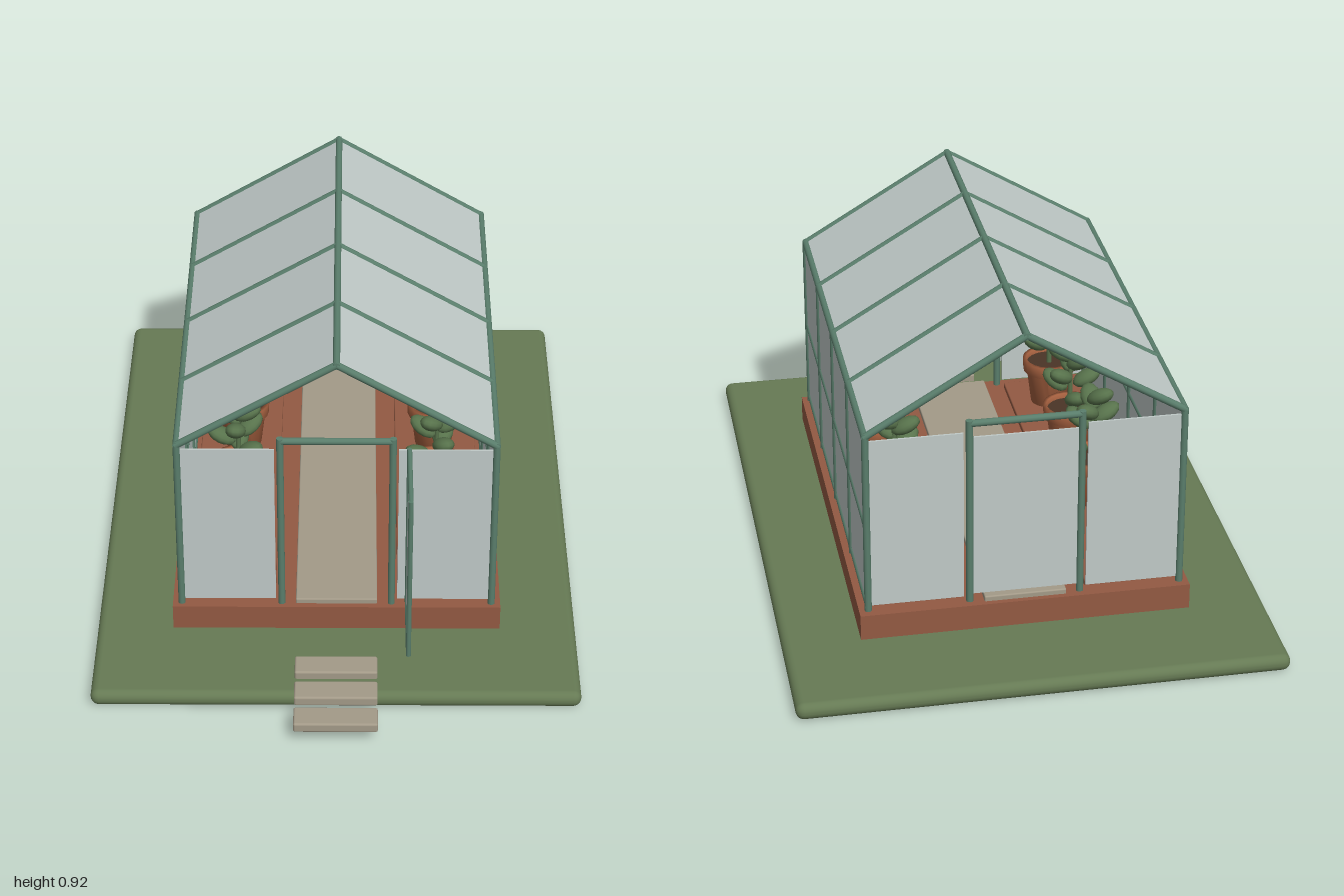
import * as THREE from 'three';
import { RoundedBoxGeometry } from 'three/addons/geometries/RoundedBoxGeometry.js';

const mat = (name, color) => {
  const m = new THREE.MeshStandardMaterial({ color });
  m.name = name;
  return m;
};

export function createModel() {
  const model = new THREE.Group();
  model.name = 'greenhouse';
  const grass = mat('grass', 0x667a54), brick = mat('brick', 0x935a43);
  const frame = mat('frameGreen', 0x5a7e6c), glass = mat('glass', 0xc0cac8);
  const stone = mat('stone', 0xa39a88), clay = mat('terracotta', 0xa5603f);
  const leaf = mat('leaf', 0x58734c), soil = mat('soil', 0x4a3527);

  const add = (name, geo, material, x = 0, y = 0, z = 0, parent = model) => {
    const m = new THREE.Mesh(geo, material);
    m.name = name;
    m.position.set(x, y, z);
    parent.add(m);
    return m;
  };
  // Box given by its min and max corners; a radius rounds its edges
  const block = (name, material, a, b, r = 0) => {
    const s = a.map((v, i) => b[i] - v);
    const geo = r ? new RoundedBoxGeometry(...s, 3, r) : new THREE.BoxGeometry(...s);
    return add(name, geo, material, ...a.map((v, i) => (v + b[i]) / 2));
  };
  // Round bar between two points
  const bar = (name, a, b, r = 0.01) => {
    const p = new THREE.Vector3(...a), q = new THREE.Vector3(...b);
    const m = add(name, new THREE.CylinderGeometry(r, r, p.distanceTo(q), 10), frame);
    m.position.copy(p).add(q).multiplyScalar(0.5);
    m.quaternion.setFromUnitVectors(new THREE.Vector3(0, 1, 0), q.sub(p).normalize());
    return m;
  };

  // Ground, brick plinth, path and stepping stones
  block('lawn', grass, [-0.667, 0, -1], [0.667, 0.048, 0.85], 0.023);
  block('plinth', brick, [-0.455, 0.04, -0.71], [0.455, 0.122, 0.562]);
  block('path', stone, [-0.113, 0.115, -0.695], [0.113, 0.137, 0.545], 0.004);
  for (const z of [0.747, 0.854, 0.963])
    block('steppingStone', stone, [-0.113, 0.042, z - 0.036], [0.113, 0.071, z + 0.036], 0.006);

  // Frame sizes
  const front = 0.54, back = -0.682, half = 0.43, eave = 0.655, ridge = 0.912, floor = 0.122;
  const bays = 4, step = (front - back) / bays;

  bar('ridgeBeam', [0, ridge, back - 0.008], [0, ridge, front + 0.008]);
  for (const s of [-1, 1]) {
    // Side rails and planting bed
    for (const y of [0.135, 0.38, eave])
      bar('sideRail', [s * half, y, back - 0.006], [s * half, y, front + 0.006], y === eave ? 0.01 : 0.008);
    const bx = s * 0.29;
    block('plantingBed', brick, [bx - 0.12, 0.115, back + 0.02], [bx + 0.12, 0.137, front - 0.02], 0.004);

    // Posts and rafters
    for (let i = 0; i <= bays; i++) {
      const z = back + i * step;
      bar('wallPost', [s * half, floor, z], [s * half, eave, z]);
      bar('rafter', [s * (half + 0.003), eave - 0.002, z], [0, ridge, z]);
    }

    // Panes of each bay
    const slope = Math.hypot(half, ridge - eave), angle = Math.atan2(ridge - eave, half);
    for (let i = 0; i < bays; i++) {
      const z0 = back + i * step + 0.006, z1 = z0 + step - 0.012;
      for (const [y0, y1] of [[0.146, 0.376], [0.384, 0.648]])
        block('wallPane', glass, [s * half - 0.003, y0, z0], [s * half + 0.003, y1, z1]);
      const roof = add('roofPane', new THREE.BoxGeometry(slope - 0.01, 0.006, z1 - z0), glass,
        s * half / 2, (eave + ridge) / 2, (z0 + z1) / 2);
      roof.rotation.z = -s * angle;
    }

    // End panes beside the doorways
    for (const z of [front, back])
      block('endPane', glass, [s * 0.295 - 0.127, 0.138, z - 0.003], [s * 0.295 + 0.127, 0.641, z + 0.003]);
  }

  // Doorway frames at both ends, with a fixed pane at the back
  for (const z of [front, back]) {
    for (const s of [-1, 1]) bar('doorPost', [s * 0.152, floor, z], [s * 0.152, 0.677, z]);
    bar('doorHeader', [-0.152, 0.668, z], [0.152, 0.668, z]);
  }
  block('backDoorPane', glass, [-0.142, 0.145, back - 0.003], [0.142, 0.627, back + 0.003]);

  // Open door standing straight out
  const dx = 0.196, d0 = 0.545, d1 = 0.783;
  block('doorPane', glass, [dx - 0.003, 0.14, d0], [dx + 0.003, 0.64, d1]);
  for (const z of [d0, d1]) bar('doorStile', [dx, 0.132, z], [dx, 0.647, z], 0.007);
  for (const y of [0.138, 0.641]) bar('doorRail', [dx, y, d0], [dx, y, d1], 0.007);

  // Potted plants, one per bay on each side
  const potGeo = new THREE.LatheGeometry([
    [0, 0], [0.054, 0], [0.068, 0.108], [0.078, 0.108], [0.08, 0.145], [0.069, 0.145], [0.067, 0.125],
  ].map(p => new THREE.Vector2(...p)), 20);
  const soilGeo = new THREE.CylinderGeometry(0.067, 0.067, 0.006, 20);
  const stemGeo = new THREE.CylinderGeometry(0.006, 0.008, 0.2, 8);
  const leafGeo = new THREE.SphereGeometry(1, 12, 8);
  for (const s of [-1, 1]) for (let i = 0; i < bays; i++) {
    const plant = new THREE.Group();
    plant.name = 'pottedPlant';
    plant.position.set(s * 0.285, 0.136, back + (i + 0.5) * step);
    plant.rotation.y = i * 1.3 + s;
    model.add(plant);
    const pot = add('pot', potGeo, clay, 0, 0, 0, plant);
    pot.geometry.computeVertexNormals();
    add('soil', soilGeo, soil, 0, 0.127, 0, plant);
    add('stem', stemGeo, leaf, 0, 0.225, 0, plant);
    for (let k = 0; k < 8; k++) {
      const a = k * 2.4, r = 0.058 - k * 0.005;
      const l = add('leaf', leafGeo, leaf, Math.cos(a) * r, 0.19 + k * 0.021, Math.sin(a) * r, plant);
      l.scale.set(0.045, 0.022, 0.03);
      l.rotation.set(0, -a, 0.5);
    }
  }
  return model;
}
